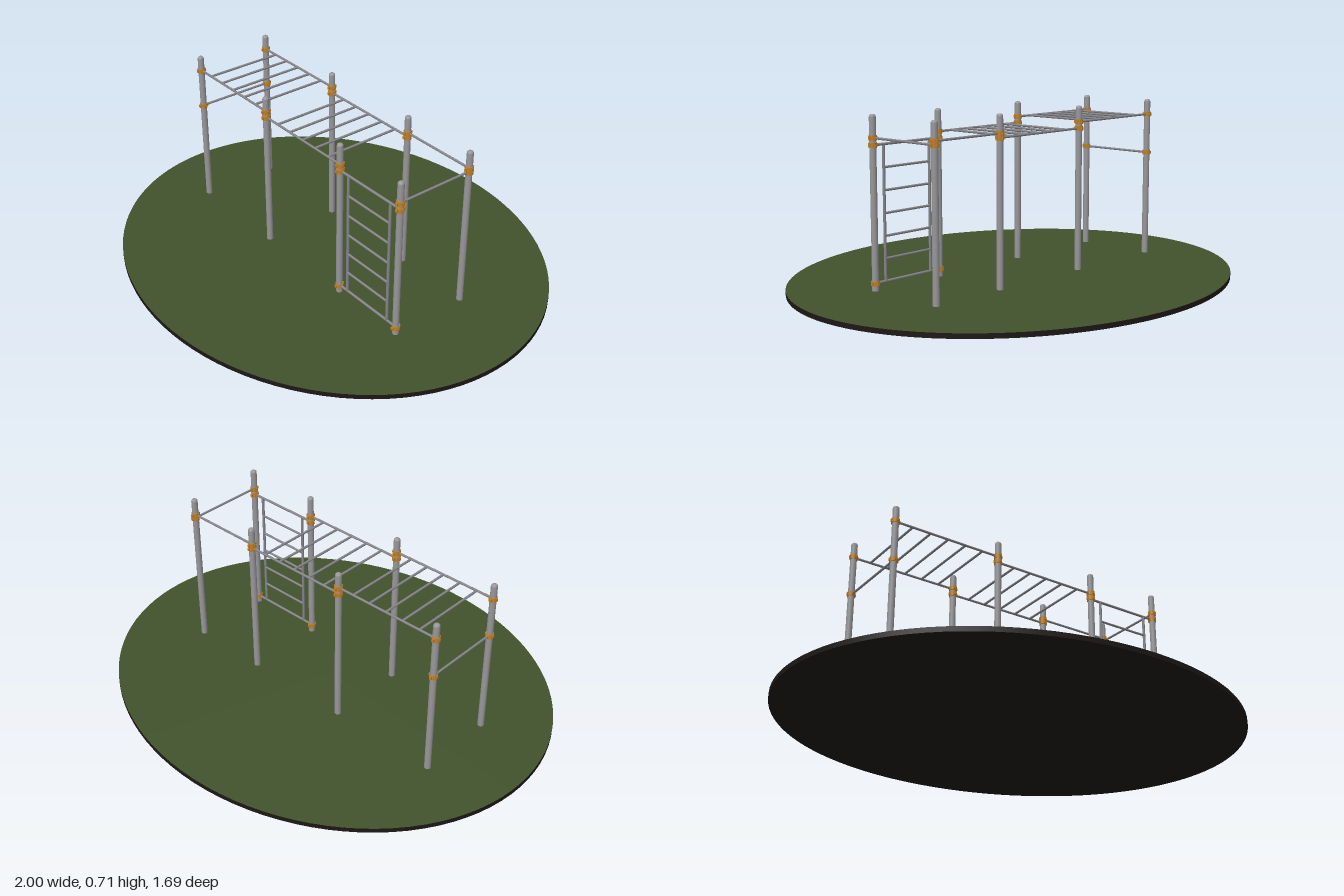
import * as THREE from 'three';

const mat = (name, color, extra = {}) => Object.assign(new THREE.MeshStandardMaterial({ color, ...extra }), { name });

export function createModel() {
  const grass = mat('grass green', 0x42522c);
  const soil = mat('dark soil', 0x1c1715);
  const steel = mat('post grey', 0x97979a);
  const tube = mat('bar grey', 0x85858a);
  const orange = mat('clamp orange', 0xbf8026);

  const model = new THREE.Group();
  model.name = 'climbingFrame';
  const Z = 0.172, BASE = 0.02;
  const X = [-0.68, -0.203, 0.275, 0.62];

  const add = (name, geometry, material, x = 0, y = 0, z = 0, parent = model) => {
    const m = new THREE.Mesh(geometry, material);
    m.name = name;
    m.position.set(x, y, z);
    parent.add(m);
    return m;
  };

  // round bar between two points
  const bar = (name, a, b, r = 0.005) => {
    const from = new THREE.Vector3(...a), to = new THREE.Vector3(...b);
    const dir = to.clone().sub(from);
    const m = add(name, new THREE.CylinderGeometry(r, r, dir.length(), 10), tube);
    m.position.copy(from).add(to).multiplyScalar(0.5);
    m.quaternion.setFromUnitVectors(new THREE.Vector3(0, 1, 0), dir.normalize());
  };

  // oval ground pad: green top, dark rim and underside
  const pad = new THREE.CylinderGeometry(1, 1, BASE, 96).scale(1, 1, 0.843);
  add('groundPad', pad, [soil, grass, soil], 0, BASE / 2, 0);

  // upright posts with rounded tops
  const profile = [[0, 0], [0.0135, 0], [0.0135, 0.683], [0.012, 0.689], [0.0075, 0.693], [0, 0.694]]
    .map(([x, y]) => new THREE.Vector2(x, y));
  const postGeo = new THREE.LatheGeometry(profile, 20);
  for (const x of X) for (const z of [-Z, Z]) add('post', postGeo, steel, x, BASE, z);

  // clamp: collar with bolted ears
  const collarGeo = new THREE.CylinderGeometry(0.0165, 0.0165, 0.02, 20);
  const earZ = new THREE.BoxGeometry(0.01, 0.012, 0.042);
  const earX = new THREE.BoxGeometry(0.038, 0.012, 0.01);
  const clamp = (x, y, z) => {
    const g = new THREE.Group();
    g.name = 'clamp';
    g.position.set(x, y, z);
    add('collar', collarGeo, orange, 0, 0, 0, g);
    add('earsAcross', earZ, orange, 0, 0, 0, g);
    add('earsAlong', earX, orange, 0, 0, 0, g);
    model.add(g);
  };

  // two overhead ladders: side rails, rungs and clamps
  const overhead = (x0, x1, y, firstRung) => {
    for (const z of [-Z, Z]) {
      bar('overheadRail', [x0, y, z], [x1, y, z]);
      clamp(x0, y, z);
      clamp(x1, y, z);
    }
    for (let i = 0; i < 5; i++) {
      const x = firstRung + i * 0.081;
      bar('overheadRung', [x, y, -Z], [x, y, Z]);
    }
  };
  overhead(X[0], X[1], 0.647, -0.603);
  overhead(X[1], X[2], 0.62, -0.124);

  // low cross bar at the left end of the front view
  bar('lowCrossBar', [X[0], 0.476, -Z], [X[0], 0.476, Z]);
  for (const z of [-Z, Z]) clamp(X[0], 0.476, z);

  // high bars closing the far bay
  bar('backHighBar', [X[2], 0.637, -Z], [X[3], 0.637, -Z]);
  clamp(X[2], 0.637, -Z);
  clamp(X[3], 0.637, -Z);
  bar('endCrossBar', [X[3], 0.622, -Z], [X[3], 0.622, Z]);
  for (const z of [-Z, Z]) clamp(X[3], 0.622, z);

  // upright wall ladder on the front of the far bay
  const low = 0.05, high = 0.594, xa = 0.326, xb = 0.567;
  for (const y of [low, high]) {
    bar('ladderFrameBar', [X[2], y, Z], [X[3], y, Z], 0.0055);
    clamp(X[2], y, Z);
    clamp(X[3], y, Z);
  }
  for (const x of [xa, xb]) bar('ladderSide', [x, low, Z], [x, high, Z], 0.006);
  for (let i = 1; i < 6; i++) {
    const y = low + (high - low) * i / 6;
    bar('ladderRung', [xa, y, Z], [xb, y, Z]);
  }
  return model;
}
